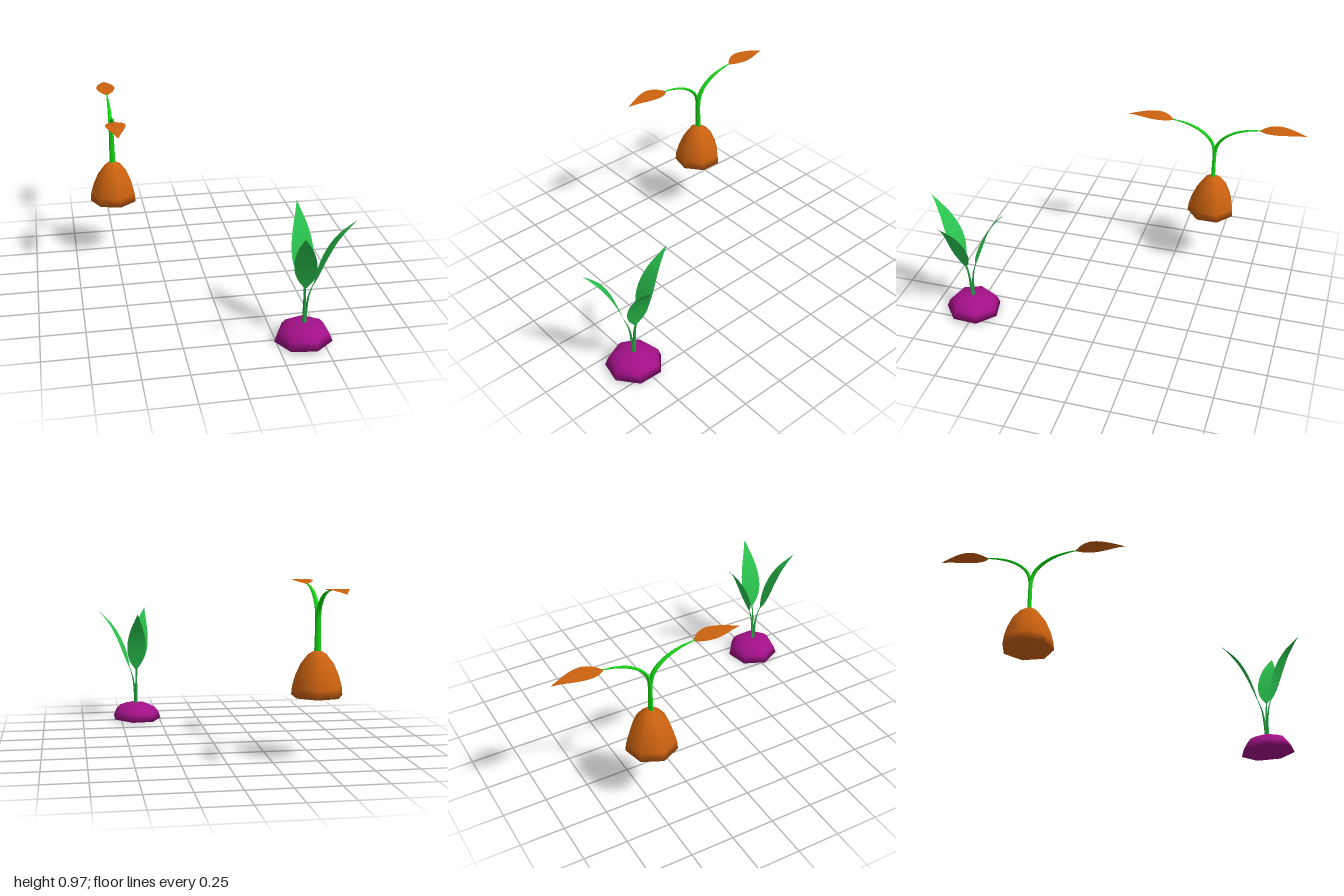
import * as THREE from 'three';

const mat = (color, side = THREE.FrontSide) =>
  new THREE.MeshStandardMaterial({ color, side, roughness: 0.8 });

// Cross-sections as [thickness, width] factors: a round tube and a flat blade
const ROUND = Array.from({ length: 6 }, (_, i) => [Math.cos(i * Math.PI / 3), Math.sin(i * Math.PI / 3)]);
const BLADE = [[0, -1], [0, 0], [0, 1]];

// Sweeps a section along rows of [outward, height, halfThickness, halfWidth]
function sweep(rows, section, closed, steps = 20) {
  const path = new THREE.CatmullRomCurve3(rows.map(r => new THREE.Vector3(r[0], r[1], 0)), false, 'catmullrom');
  const size = new THREE.CatmullRomCurve3(rows.map(r => new THREE.Vector3(r[2], r[3], 0)), false, 'catmullrom');
  const pos = [], index = [], n = section.length;
  for (let i = 0; i <= steps; i++) {
    const p = path.getPoint(i / steps), t = path.getTangent(i / steps), s = size.getPoint(i / steps);
    for (const [u, v] of section) {
      pos.push(p.x - t.y * u * s.x, p.y + t.x * u * s.x, v * Math.max(s.y, 0));
    }
  }
  for (let i = 0; i < steps; i++) {
    for (let j = 0; j < (closed ? n : n - 1); j++) {
      const a = i * n + j, b = i * n + (j + 1) % n;
      index.push(a, b, b + n, a, b + n, a + n);
    }
  }
  const g = new THREE.BufferGeometry();
  g.setAttribute('position', new THREE.Float32BufferAttribute(pos, 3));
  g.setIndex(index);
  g.computeVertexNormals();
  return g;
}

// Seven-sided mound with a flat underside, one corner towards -x
function mound(profile) {
  const pts = profile.map(([r, y]) => new THREE.Vector2(r, y));
  return new THREE.LatheGeometry(pts, 7, -Math.PI / 2);
}

function add(parent, name, geometry, material) {
  const mesh = new THREE.Mesh(geometry, material);
  mesh.name = name;
  parent.add(mesh);
  return mesh;
}

// One plant: a mound and a stem with a leaf for each direction (degrees from +x towards +z)
function plant(name, spec) {
  const g = new THREE.Group();
  g.name = name;
  add(g, 'mound', mound(spec.mound), mat(spec.moundColor)).rotation.set(...spec.tilt);
  const stem = sweep(spec.stem, ROUND, true);
  const leaf = sweep(spec.leaf, BLADE, false);
  const stemMat = mat(spec.stemColor, THREE.DoubleSide);
  const leafMat = mat(spec.leafColor, THREE.DoubleSide);
  for (const angle of spec.angles) {
    const branch = new THREE.Group();
    branch.name = 'branch';
    branch.rotation.y = -THREE.MathUtils.degToRad(angle);
    add(branch, 'stem', stem, stemMat);
    add(branch, 'leaf', leaf, leafMat);
    g.add(branch);
  }
  return g;
}

export function createModel() {
  const model = new THREE.Group();
  model.name = 'twoSprouts';

  // Tall mound with two arching branches
  const tall = plant('tallSprout', {
    mound: [[0, 0.36], [0.144, 0.36], [0.139, 0.41], [0.122, 0.47], [0.093, 0.535], [0.052, 0.588], [0.02, 0.608], [0, 0.61]],
    tilt: [0, 0, 0],
    moundColor: 0xcc620f,
    stemColor: 0x12d812,
    leafColor: 0xcc620f,
    angles: [90, -90],
    stem: [
      [0, 0.58, 0.012, 0.021], [0, 0.7, 0.011, 0.018], [0.006, 0.8, 0.01, 0.016],
      [0.04, 0.865, 0.008, 0.014], [0.11, 0.917, 0.007, 0.011], [0.19, 0.945, 0.005, 0.007], [0.265, 0.957, 0.002, 0.003],
    ],
    leaf: [
      [0.255, 0.954, 0, 0.004], [0.29, 0.962, 0, 0.036], [0.33, 0.968, 0, 0.054], [0.37, 0.97, 0, 0.057],
      [0.42, 0.969, 0, 0.046], [0.48, 0.964, 0, 0.022], [0.535, 0.955, 0, 0],
    ],
  });
  tall.position.set(-0.5, 0, -0.465);

  // Low mound with three upright leaves
  const low = plant('lowSprout', {
    mound: [[0, 0.012], [0.16, 0.012], [0.144, 0.055], [0.118, 0.085], [0.075, 0.104], [0.03, 0.112], [0, 0.113]],
    tilt: [-0.04, 0, 0.04],
    moundColor: 0xa31088,
    stemColor: 0x25a844,
    leafColor: 0x2ac44e,
    angles: [-90, 14, 109],
    stem: [
      [0.004, 0.09, 0.008, 0.009], [0.008, 0.18, 0.007, 0.008], [0.016, 0.26, 0.005, 0.005],
      [0.028, 0.31, 0.003, 0.004], [0.042, 0.35, 0.002, 0.003],
    ],
    leaf: [
      [0.04, 0.34, 0, 0.005], [0.052, 0.385, 0, 0.036], [0.07, 0.44, 0, 0.055], [0.092, 0.5, 0, 0.059],
      [0.12, 0.56, 0, 0.052], [0.155, 0.62, 0, 0.037], [0.2, 0.675, 0, 0.017], [0.243, 0.72, 0, 0],
    ],
  });
  low.position.set(0.4, 0, 0.77);

  model.add(tall, low);
  return model;
}
